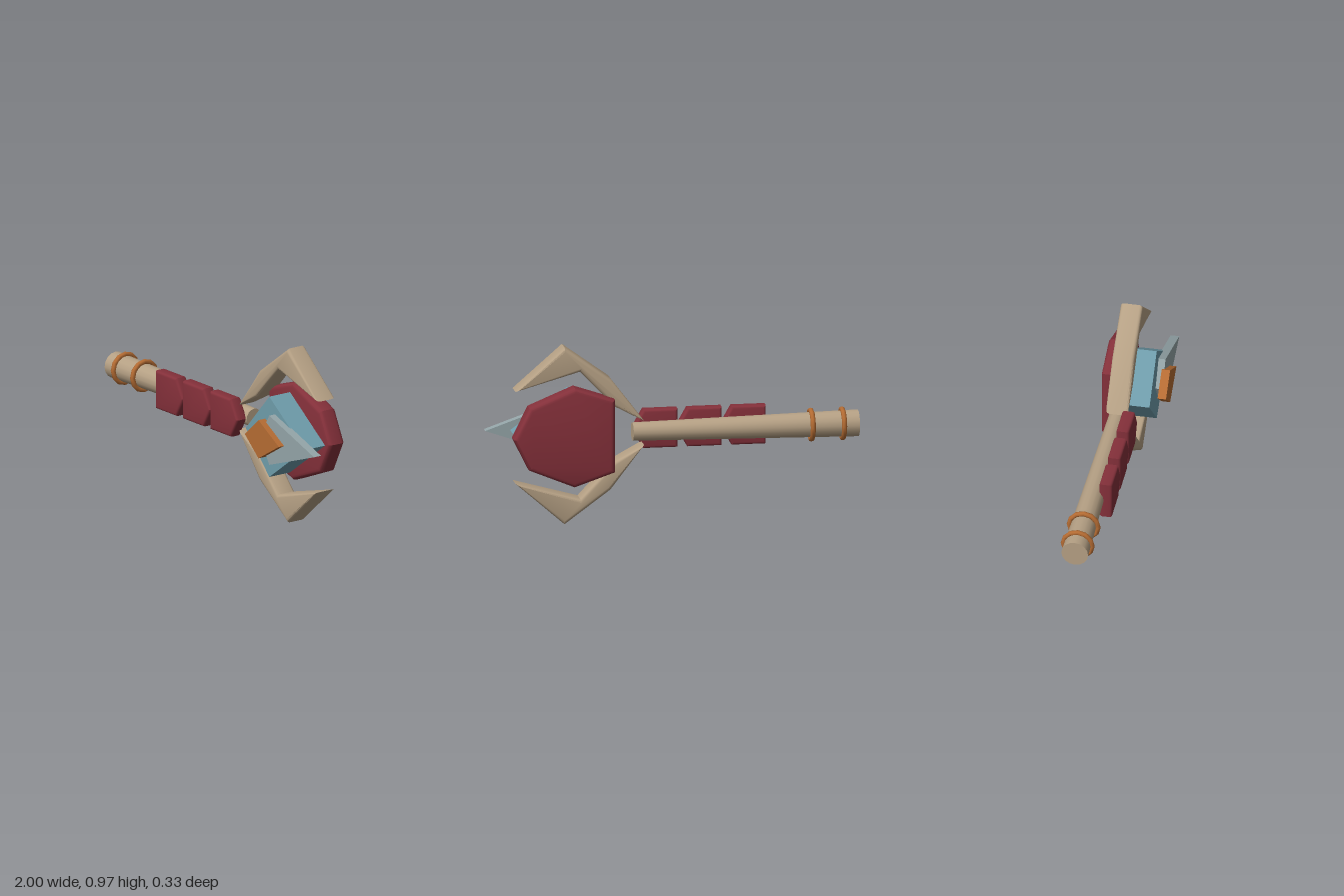
import * as THREE from 'three';
import { toCreasedNormals } from 'three/addons/utils/BufferGeometryUtils.js';

const CY = 0.487; // height of the long axis

const mat = (color) => new THREE.MeshStandardMaterial({ color });
const tan = mat(0xb5a084), red = mat(0x84303a), teal = mat(0x6f9dab);
const grey = mat(0x94a5a8), orange = mat(0xb56c33);

// Outline points are [x, height above the axis]; the slab fills z0..z1.
function slab(name, points, z0, z1, bevel, material) {
  const shape = new THREE.Shape(points.map(([x, y]) => new THREE.Vector2(x, y)));
  let geo = new THREE.ExtrudeGeometry(shape, {
    depth: z1 - z0 - 2 * bevel,
    bevelEnabled: bevel > 0,
    bevelThickness: bevel,
    bevelSize: bevel,
    bevelOffset: -bevel,
    bevelSegments: 3,
  });
  geo.translate(0, CY, z0 + bevel);
  if (bevel > 0) geo = toCreasedNormals(geo, 0.6);
  const mesh = new THREE.Mesh(geo, material);
  mesh.name = name;
  return mesh;
}

const kite = (left, mid, right, half) => [[left, 0], [mid, -half], [right, 0], [mid, half]];

export function createModel() {
  const group = new THREE.Group();
  group.name = 'sceptre';

  // Tapered handle along x
  const handle = new THREE.Mesh(new THREE.CylinderGeometry(0.05, 0.073, 1.225, 16), tan);
  handle.name = 'handle';
  handle.rotation.z = -Math.PI / 2;
  handle.position.set(-0.3875, CY, -0.055);
  group.add(handle);

  // Grip rings
  for (const x of [-0.915, -0.745]) {
    const ring = new THREE.Mesh(new THREE.TorusGeometry(0.079, 0.014, 8, 12), orange);
    ring.name = 'gripRing';
    ring.rotation.y = Math.PI / 2;
    ring.position.set(x, CY, -0.055);
    group.add(ring);
  }

  // Three pointed plates on the front of the handle
  for (let i = 0; i < 3; i++) {
    const x = -0.508 + i * 0.24;
    group.add(slab('handlePlate', [
      [x, -0.106], [x + 0.185, -0.106], [x + 0.245, 0], [x + 0.185, 0.106], [x, 0.106],
    ], -0.017, 0.055, 0.015, red));
  }

  // Faceted backing shield
  group.add(slab('backShield', [
    [0.335, -0.2], [0.553, -0.274], [0.8, -0.172], [0.885, 0],
    [0.8, 0.172], [0.553, 0.274], [0.335, 0.2],
  ], -0.167, -0.06, 0.025, red));

  // Stacked gem, blade and stud
  group.add(slab('gem', kite(0.347, 0.555, 0.865, 0.225), -0.045, 0.095, 0, teal));
  group.add(slab('blade', kite(0.52, 0.605, 1.0, 0.138), 0.086, 0.133, 0, grey));
  group.add(slab('stud', kite(0.435, 0.555, 0.735, 0.107), 0.122, 0.168, 0, orange));

  // Mirrored claws around the head
  const claw = [
    [0.168, 0.066], [0.33, 0.152], [0.515, 0.35], [0.867, 0.253], [0.6, 0.487], [0.35, 0.305],
  ];
  group.add(slab('upperClaw', claw, -0.11, 0.01, 0.018, tan));
  group.add(slab('lowerClaw', claw.map(([x, y]) => [x, -y]), -0.11, 0.01, 0.018, tan));

  return group;
}
